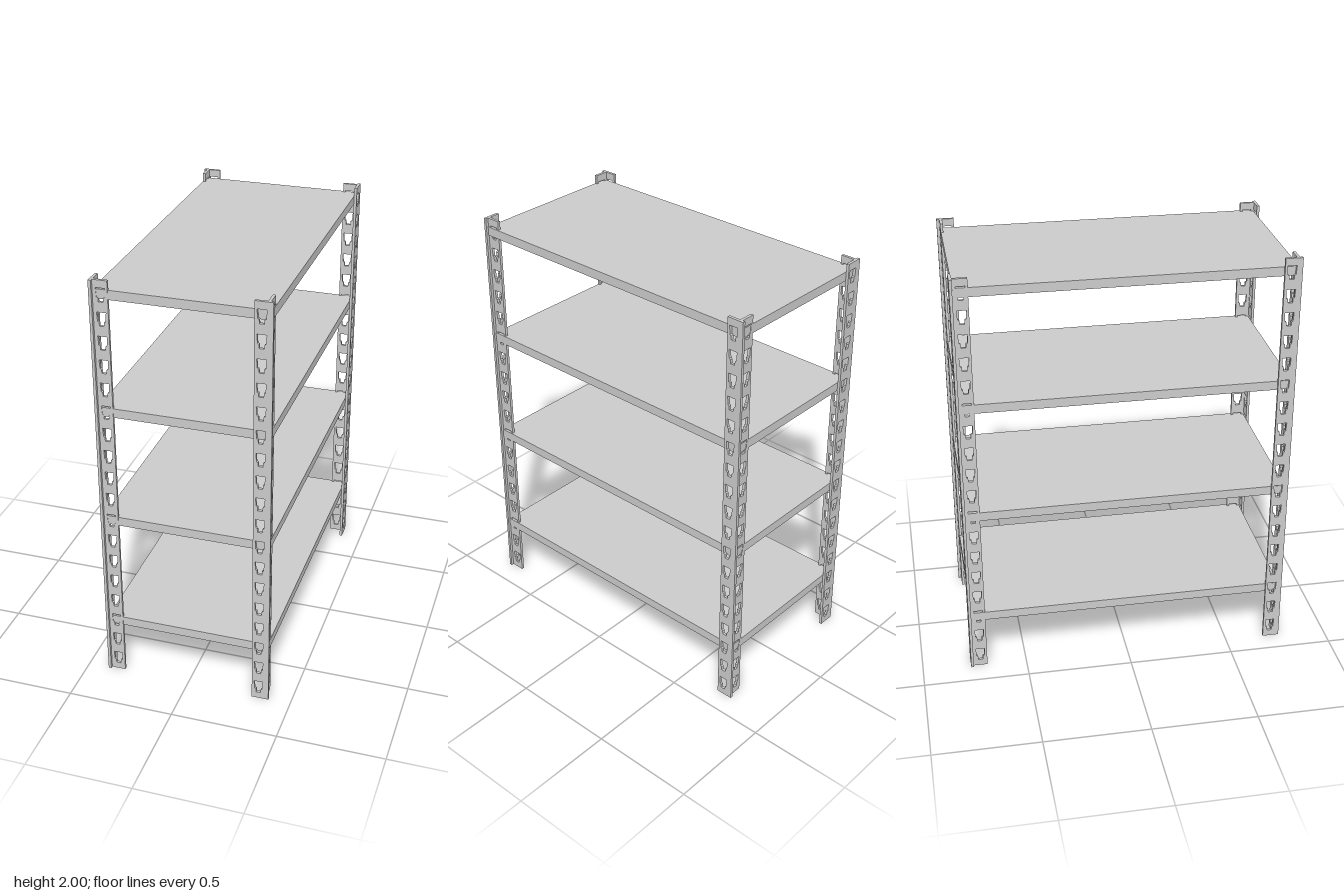
import * as THREE from 'three';

const HEIGHT = 2, ARM = 0.08, T = 0.013;    // post height, flange width, sheet thickness
const X = 0.4, Z = 0.769;                   // outer corner of the posts
const HOLE_X = -0.048, HOLE_PITCH = 0.11, HOLE_COUNT = 18;

// Stepped keyhole slot: wide tapered top, narrow bottom
function slot(y) {
  const half = [[0.021, 0.063], [0.018, 0.022], [0.0115, 0.018], [0.0105, 0]];
  const right = half.map(([x, h]) => new THREE.Vector2(HOLE_X + x, y + h));
  const left = half.map(([x, h]) => new THREE.Vector2(HOLE_X - x, y + h)).reverse();
  return new THREE.Path([...right, ...left]);
}

// Perforated strip from x = -ARM to x = end
function flange(end) {
  const shape = new THREE.Shape();
  shape.moveTo(-ARM, 0).lineTo(end, 0).lineTo(end, HEIGHT).lineTo(-ARM, HEIGHT).closePath();
  for (let i = 0; i < HOLE_COUNT; i++) shape.holes.push(slot(0.032 + i * HOLE_PITCH));
  return new THREE.ExtrudeGeometry(shape, { depth: T, bevelEnabled: false });
}

export function createModel() {
  const group = new THREE.Group();
  group.name = 'shelvingUnit';
  const material = new THREE.MeshStandardMaterial({ color: 0xcccccc });
  const add = (parent, geometry, name) => {
    const mesh = new THREE.Mesh(geometry, material);
    mesh.name = name;
    parent.add(mesh);
    return mesh;
  };

  // Angle posts: one L section turned to each corner
  const flangeA = flange(0).translate(0, 0, -T);
  const flangeB = flange(-T).rotateY(-Math.PI / 2).translate(-T, 0, 0);
  const corners = [
    ['frontLeftPost', X - 0.005, Z], ['backLeftPost', X, -Z],
    ['backRightPost', -X, -Z], ['frontRightPost', -X, Z],
  ];
  corners.forEach(([name, x, z], i) => {
    const post = new THREE.Group();
    post.name = name;
    add(post, flangeA, 'flange');
    add(post, flangeB, 'sideFlange');
    post.position.set(x, 0, z);
    post.rotation.y = i * Math.PI / 2;
    group.add(post);
  });

  // Shelves
  const shelf = new THREE.BoxGeometry(0.774, 0.043, 1.508);
  for (let i = 0; i < 4; i++) {
    add(group, shelf, `shelf${i + 1}`).position.set(-0.001, 0.284 + i * 0.551, 0);
  }
  return group;
}
